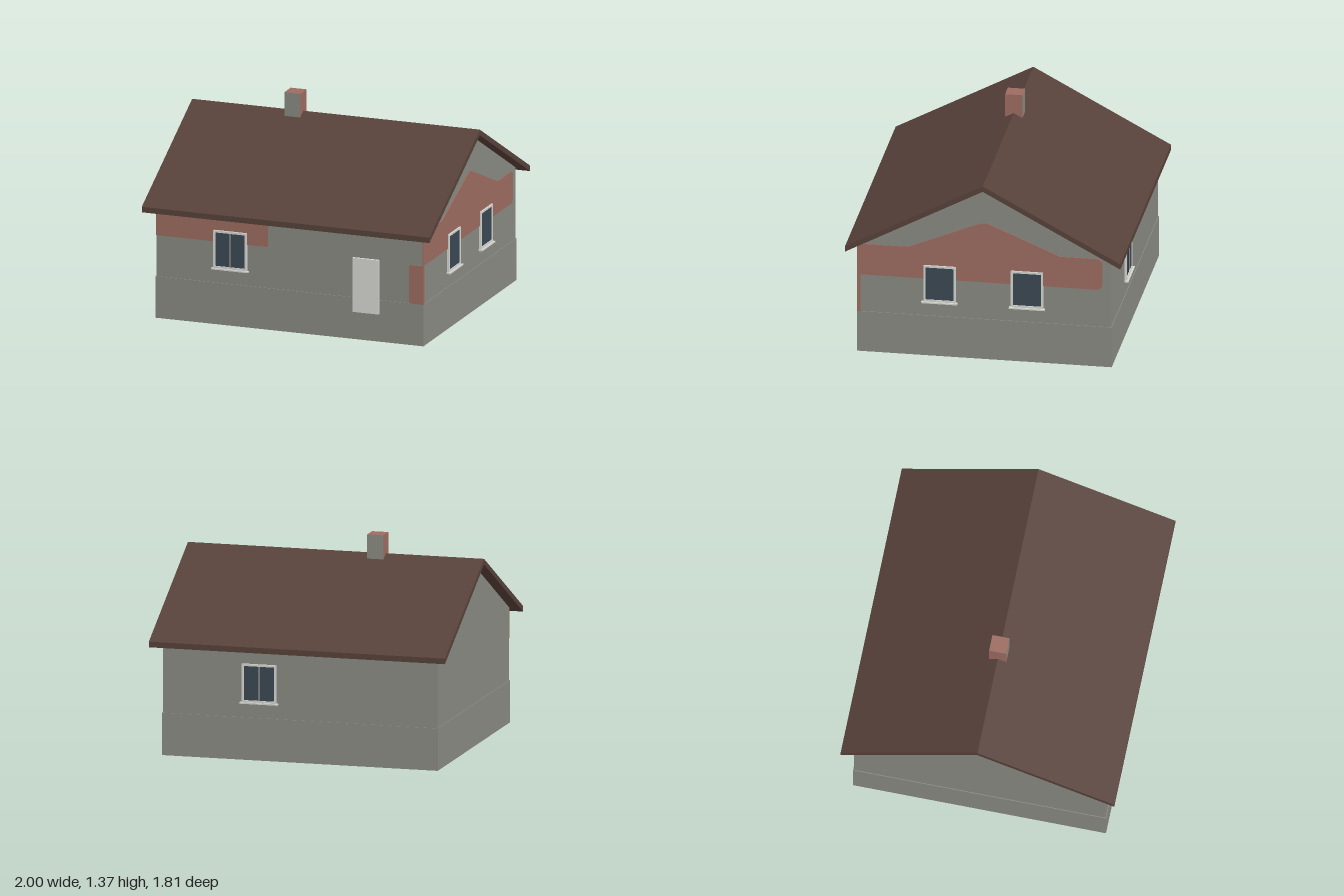
import * as THREE from 'three';

const mat = (name, color) => {
  const m = new THREE.MeshStandardMaterial({ color });
  m.name = name;
  return m;
};

export function createModel() {
  const house = new THREE.Group();
  house.name = 'house';

  const plaster = mat('grey plaster', 0x898a83);
  const brick = mat('red brick', 0x9c6c60);
  const tile = mat('brown roof', 0x57413a);
  const white = mat('off-white trim', 0xd6d6d1);
  const glass = mat('dark blue glass', 0x3a4853);
  const dark = mat('dark underside', 0x242424);

  const add = (parent, name, geometry, material, x = 0, y = 0, z = 0) => {
    const mesh = new THREE.Mesh(geometry, material);
    mesh.name = name;
    mesh.position.set(x, y, z);
    parent.add(mesh);
    return mesh;
  };
  const box = (w, h, d) => new THREE.BoxGeometry(w, h, d);
  const outline = (pts) => new THREE.Shape(pts.map(([x, y]) => new THREE.Vector2(x, y)));
  const slab = (shape, depth) => new THREE.ExtrudeGeometry(shape, { depth, bevelEnabled: false });
  // Extrudes a gable outline along x; outline coordinates are (-z, y)
  const alongX = (pts, length) => slab(outline(pts), length).rotateY(Math.PI / 2);

  const WX = 0.927, WZ = 0.832;

  // Plinth, with a dark bottom face
  add(house, 'plinth', box(2 * WX + 0.01, 0.28, 2 * WZ + 0.01),
    [plaster, plaster, plaster, dark, plaster, plaster], 0, 0.14, 0);

  // Walls with gables
  add(house, 'walls', alongX([[-WZ, 0.27], [WZ, 0.27], [WZ, 0.759], [0, 1.206], [-WZ, 0.759]], 2 * WX),
    plaster, -WX);

  // Pitched roof
  add(house, 'roof', alongX([[-0.905, 0.722], [0, 1.207], [0.905, 0.722], [0.905, 0.759], [0, 1.245], [-0.905, 0.759]], 2),
    tile, -1);

  // Chimney: brick on the sides and top, plaster on front and back
  add(house, 'chimney', box(0.11, 0.22, 0.114),
    [brick, brick, brick, brick, plaster, plaster], -0.282, 1.264, 0);

  // Brick cladding
  const T = 0.005;
  add(house, 'gableBrick', alongX([
    [-WZ - T, 0.54], [0.75, 0.54], [0.775, 0.565], [0.775, 0.73], [0.75, 0.755],
    [0.5, 0.755], [0.02, 0.955], [-0.02, 0.955], [-0.5, 0.755], [-WZ - T, 0.755],
  ], T), brick, WX);
  add(house, 'frontBrick', slab(outline([
    [-WX, 0.557], [-0.16, 0.557], [-0.15, 0.567], [-0.15, 0.757], [-WX, 0.757],
  ]), T), brick, 0, 0, WZ);
  add(house, 'cornerBrick', box(0.1, 0.26, T + 0.002), brick, 0.882, 0.41, WZ + 0.003);
  add(house, 'cornerBrickReturn', box(T, 0.26, 0.02), brick, WX + 0.0025, 0.41, 0.825);

  // Door
  add(house, 'door', box(0.183, 0.365, 0.02), white, 0.534, 0.368, 0.839);

  // Windows face +z locally and are turned to their wall
  const makeWindow = (name, width, x, z, turn, split) => {
    const g = new THREE.Group();
    g.name = name;
    const h = 0.254, b = 0.014, w = width / 2;
    const rect = (a, c) => [[-a, -c], [a, -c], [a, c], [-a, c]];
    const frame = outline(rect(w, h / 2));
    frame.holes.push(new THREE.Path(rect(w - b, h / 2 - b).reverse().map(([px, py]) => new THREE.Vector2(px, py))));
    add(g, 'windowFrame', slab(frame, 0.014), white);
    add(g, 'windowPane', box(width - 2 * b, h - 2 * b, 0.008), glass, 0, 0, 0.004);
    if (split) {
      add(g, 'windowGap', box(0.012, h - 2 * b, 0.006), dark, 0, 0, 0.008);
      add(g, 'windowMullion', box(0.006, h - 2 * b, 0.008), white, 0, 0, 0.009);
    }
    add(g, 'windowSill', box(width + 0.024, 0.009, 0.026), white, 0, -h / 2 - 0.004, 0.013);
    g.position.set(x, 0.509, z);
    g.rotation.y = turn;
    house.add(g);
  };
  makeWindow('frontWindow', 0.232, -0.409, WZ + 0.003, 0, true);
  makeWindow('backWindow', 0.232, 0.275, -WZ, Math.PI, true);
  for (const z of [0.294, -0.281]) {
    makeWindow('gableWindow', 0.212, WX + 0.001, z, Math.PI / 2, false);
  }

  return house;
}
